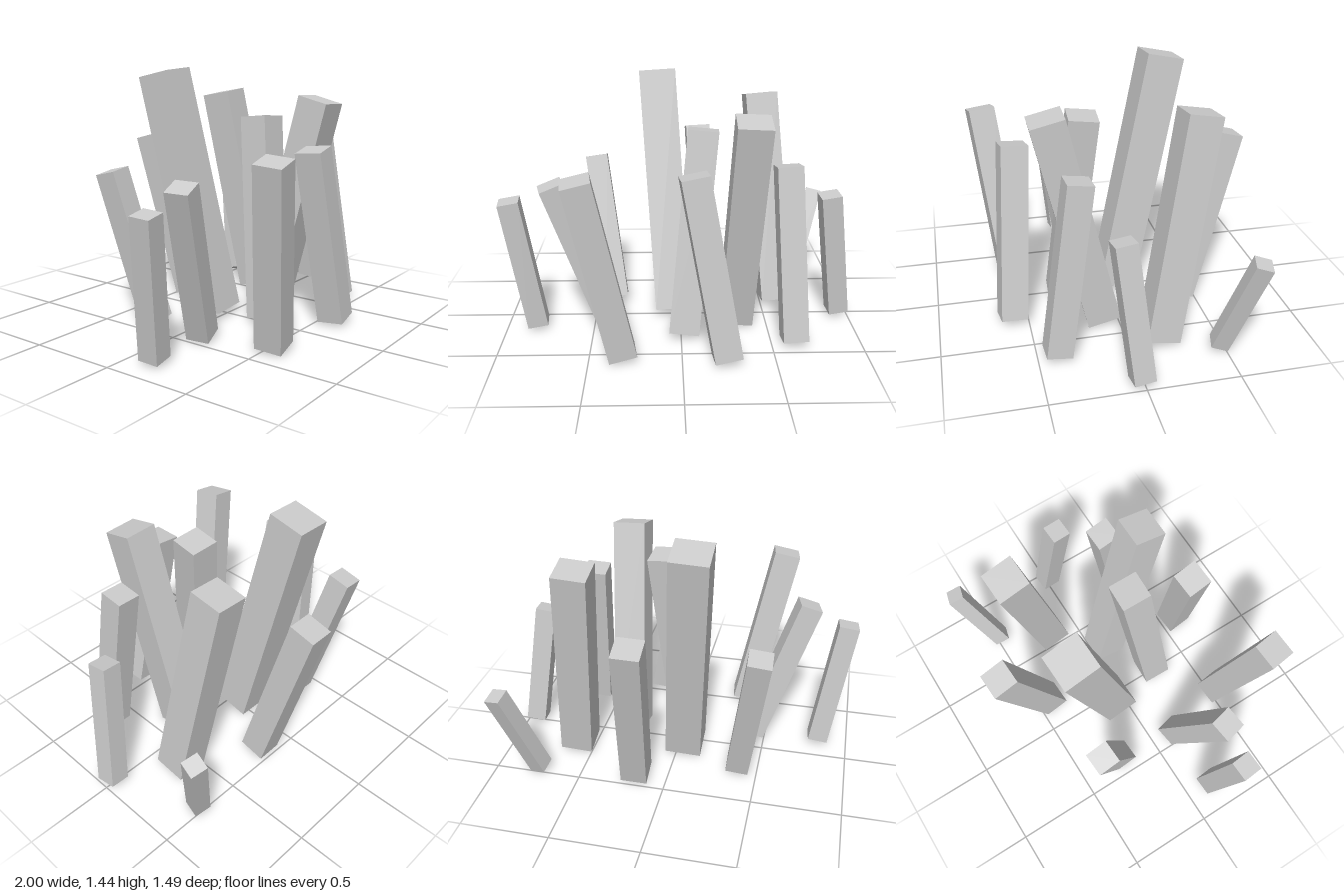
import * as THREE from 'three';

// Each pillar: base x, base z, top x, top y, top z, side width, yaw in degrees
const PILLARS = [
  // back row
  [-0.385, -0.22, -0.505, 0.88, -0.42, 0.13, -2],
  [-0.04, -0.06, -0.13, 1.41, -0.355, 0.21, -1.5],
  [0.18, -0.41, 0.125, 1.01, -0.675, 0.15, -2],
  [0.74, -0.47, 0.893, 0.59, -0.62, 0.095, 10],
  [0.595, -0.175, 0.487, 1.27, -0.39, 0.187, -2],
  // middle
  [0.325, 0.087, 0.375, 1.255, 0.385, 0.187, 1],
  [0.02, 0.27, 0.125, 1.165, 0.148, 0.168, 3],
  [0.627, 0.392, 0.577, 0.99, 0.258, 0.14, -2],
  [0.94, 0.01, 0.845, 0.775, 0.093, 0.115, -5],
  [-0.823, 0.155, -0.94, 0.79, 0.222, 0.115, -5],
  [-0.42, 0.14, -0.71, 0.885, 0.245, 0.13, -13],
  // front row
  [-0.323, 0.535, -0.527, 1.025, 0.655, 0.153, -8],
  [0.24, 0.587, 0.06, 1.01, 0.525, 0.15, -5],
];
const BASE_Y = 0.03; // height of every pillar's base centre

// Square pillar leaning from its base centre to its top centre
function makePillar([bx, bz, tx, ty, tz, width, yaw], material) {
  const base = new THREE.Vector3(bx, BASE_Y, bz);
  const top = new THREE.Vector3(tx, ty, tz);
  const up = top.clone().sub(base);
  const length = up.length();
  up.normalize();
  const a = THREE.MathUtils.degToRad(yaw);
  const side = new THREE.Vector3(Math.cos(a), 0, Math.sin(a));
  side.addScaledVector(up, -side.dot(up)).normalize();
  const front = new THREE.Vector3().crossVectors(side, up);

  const mesh = new THREE.Mesh(new THREE.BoxGeometry(width, length, width), material);
  mesh.quaternion.setFromRotationMatrix(new THREE.Matrix4().makeBasis(side, up, front));
  mesh.position.copy(base).add(top).multiplyScalar(0.5);
  return mesh;
}

export function createModel() {
  const group = new THREE.Group();
  group.name = 'pillarCluster';
  const material = new THREE.MeshStandardMaterial({ color: 0xcccccc, flatShading: true });
  PILLARS.forEach((spec, i) => {
    const pillar = makePillar(spec, material);
    pillar.name = `leaningPillar${i + 1}`;
    group.add(pillar);
  });
  return group;
}
